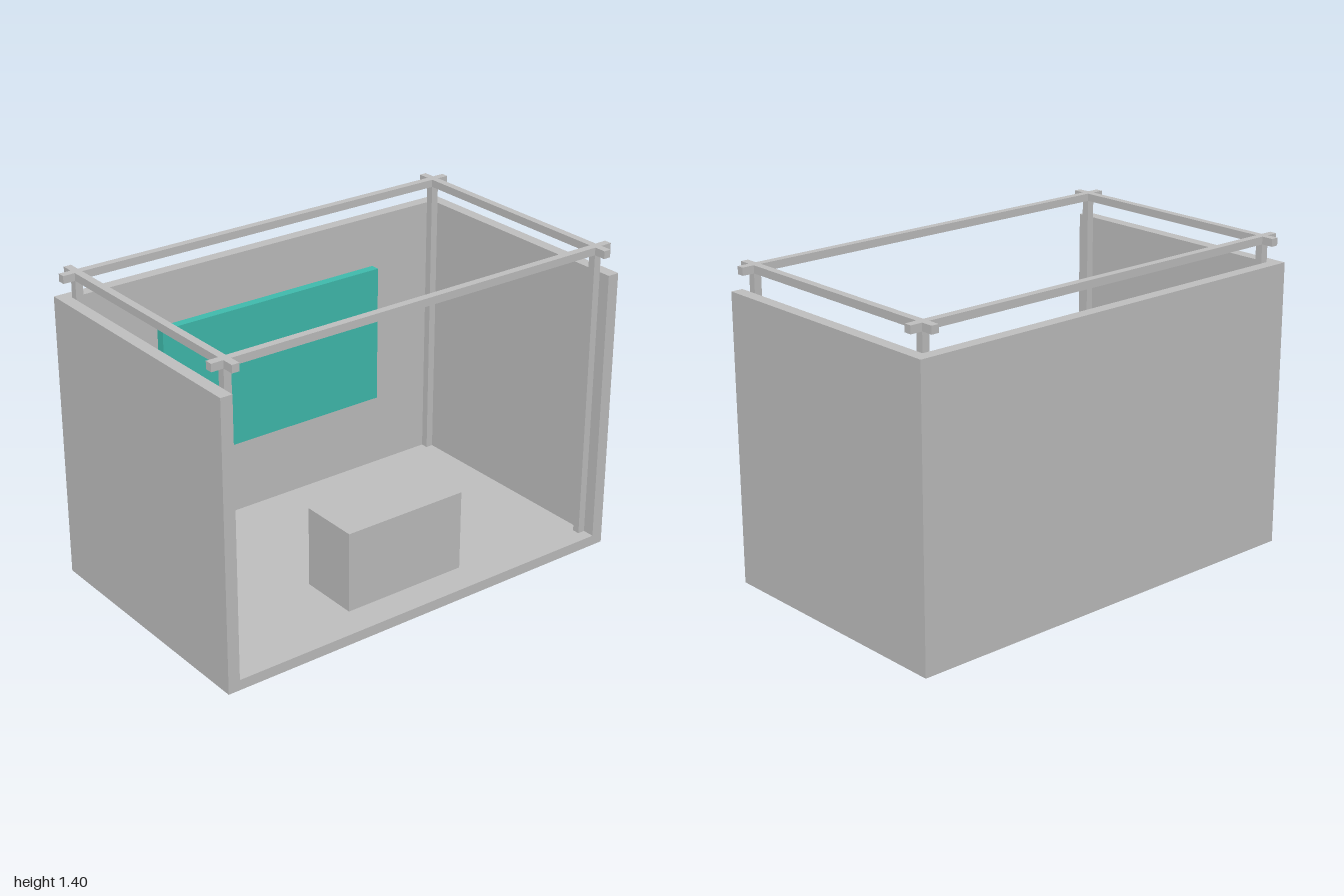
import * as THREE from 'three';

export function createModel() {
  const model = new THREE.Group();
  model.name = 'exhibitionBooth';

  const grey = new THREE.MeshStandardMaterial({ name: 'light grey', color: 0xc0c0c0 });
  const teal = new THREE.MeshStandardMaterial({ name: 'teal', color: 0x40bcae });

  // Box given by its lower and upper corners
  function block(name, material, [x0, y0, z0], [x1, y1, z1]) {
    const mesh = new THREE.Mesh(new THREE.BoxGeometry(x1 - x0, y1 - y0, z1 - z0), material);
    mesh.position.set((x0 + x1) / 2, (y0 + y1) / 2, (z0 + z1) / 2);
    mesh.name = name;
    model.add(mesh);
  }

  const W = 1, D = 0.6, wallTop = 1.283, floorTop = 0.047, top = 1.4;
  const wall = 0.054, bar = 0.034;
  const ix = W - wall, iz = D - wall; // inner faces of the walls

  // Shell, open at the front and top
  block('floor', grey, [-ix, 0, -iz], [ix, floorTop, D]);
  block('backWall', grey, [-ix, 0, -D], [ix, wallTop, -iz]);
  block('leftWall', grey, [ix, 0, -D], [W, wallTop, D]);
  block('rightWall', grey, [-W, 0, -D], [-ix, wallTop, D]);

  // Truss: corner posts carrying four crossing beams
  const px = ix - bar / 2, pz = iz - bar / 2, h = bar / 2;
  for (const sx of [1, -1]) {
    for (const sz of [1, -1]) {
      block(`${sz > 0 ? 'front' : 'back'}${sx > 0 ? 'Left' : 'Right'}Post`, grey,
        [sx * px - h, floorTop, sz * pz - h], [sx * px + h, top - bar, sz * pz + h]);
    }
    block(sx > 0 ? 'leftBeam' : 'rightBeam', grey,
      [sx * px - h, top - bar, -D], [sx * px + h, top, D]);
  }
  for (const sz of [1, -1]) {
    block(sz > 0 ? 'frontBeam' : 'backBeam', grey,
      [-W, top - bar, sz * pz - h], [W, top, sz * pz + h]);
  }

  // Display panel and counter
  block('displayPanel', teal, [-0.571, 0.425, -0.512], [0.571, 1.065, -0.47]);
  block('counter', grey, [-0.298, floorTop, 0.177], [0.298, 0.413, 0.455]);

  return model;
}
